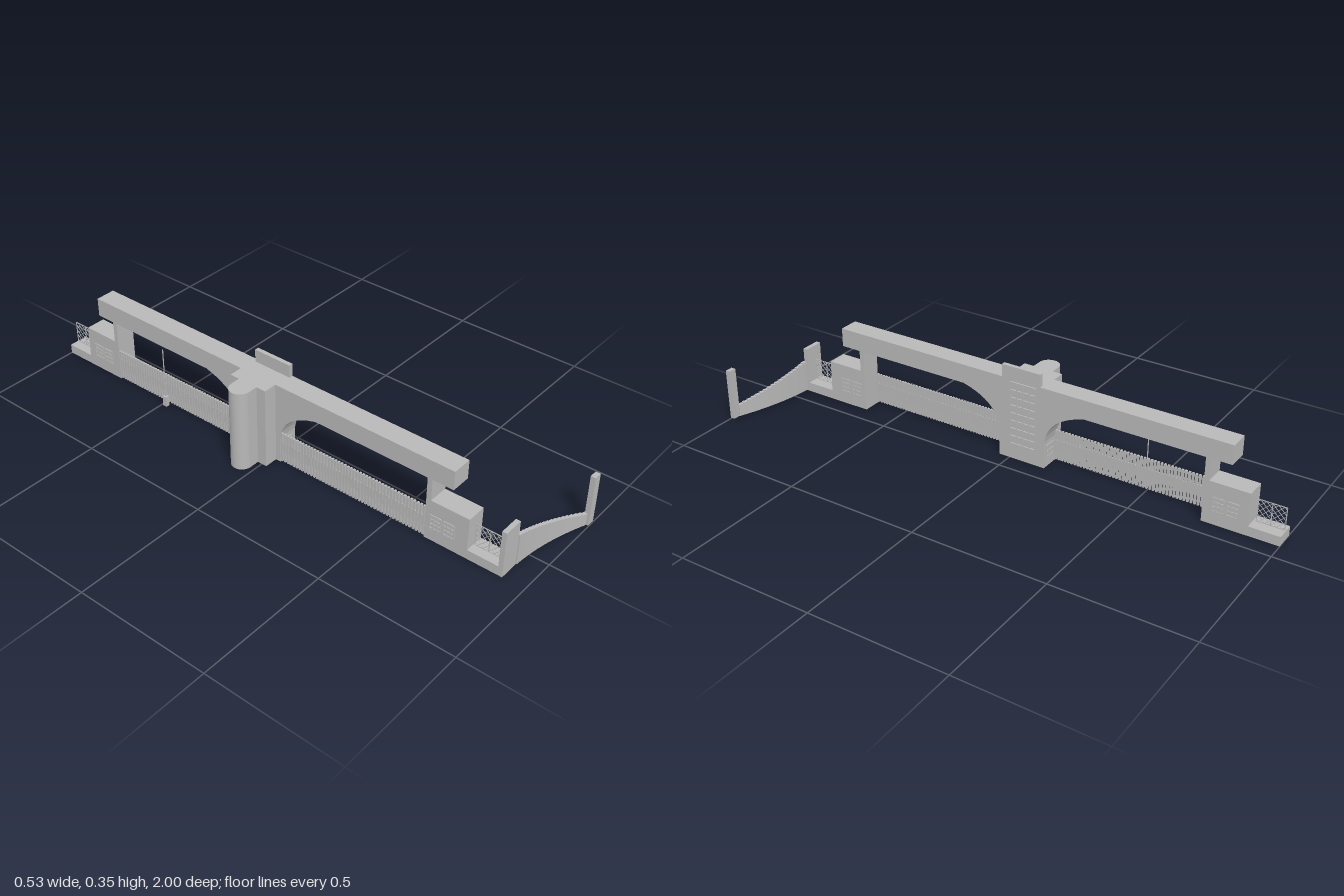
import * as THREE from 'three';

const concrete = new THREE.MeshStandardMaterial({ color: 0xb8b8b8 });
concrete.name = 'pale grey concrete';

// Box given by its lower and upper limits on each axis
function block(parent, name, x0, x1, y0, y1, z0, z1) {
  const mesh = new THREE.Mesh(new THREE.BoxGeometry(x1 - x0, y1 - y0, z1 - z0), concrete);
  mesh.position.set((x0 + x1) / 2, (y0 + y1) / 2, (z0 + z1) / 2);
  mesh.name = name;
  parent.add(mesh);
  return mesh;
}

// Window bars in the XY plane, centred on the origin, then turned and placed
function windowGrid(parent, name, w, h, cols, rows, x, y, z, turn) {
  const g = new THREE.Group();
  const t = 0.0018, d = 0.003;
  for (let i = 0; i <= cols; i++) {
    const px = -w / 2 + (w * i) / cols;
    block(g, 'upright', px - t, px + t, -h / 2, h / 2, -d, d);
  }
  for (let i = 0; i <= rows; i++) {
    const py = -h / 2 + (h * i) / rows;
    block(g, 'crossbar', -w / 2, w / 2, py - t, py + t, -d, d);
  }
  g.name = name;
  g.position.set(x, y, z);
  g.rotation.y = turn;
  parent.add(g);
}

// Comb railing: solid middle band with slats above and below
function railing(parent, z0, z1) {
  const g = new THREE.Group();
  g.name = 'railing';
  block(g, 'railingBand', -0.138, -0.132, 0.042, 0.082, z0, z1);
  const count = 47, pitch = (z1 - z0) / count;
  for (let i = 0; i < count; i++) {
    const z = z0 + pitch * (i + 0.5);
    block(g, 'slat', -0.14, -0.131, 0.006, 0.12, z - 0.0037, z + 0.0037);
  }
  parent.add(g);
}

// Lattice fence along z, with crossing diagonal bars
function latticeFence(parent, z0, z1) {
  const g = new THREE.Group();
  g.name = 'latticeFence';
  const x = -0.105, y0 = 0.037, y1 = 0.12, t = 0.0012;
  for (const z of [z0, (z0 + z1) / 2, z1]) block(g, 'fencePost', x - t, x + t, y0, y1, z - t, z + t);
  for (const y of [y0 + t, y1 - t]) block(g, 'fenceRail', x - t, x + t, y - t, y + t, z0, z1);
  const h = y1 - y0, w = z1 - z0, step = 0.02;
  for (const side of [1, -1]) {
    for (let s = -h + step / 2; s < w; s += step) {
      const a = Math.max(0, s), b = Math.min(w, s + h);
      if (b - a < 0.004) continue;
      const mid = (a + b) / 2;
      const bar = block(g, 'diagonalBar', x - 0.0008, x + 0.0008, -0.0008, 0.0008, 0, (b - a) * Math.SQRT2);
      bar.position.set(x, y0 + mid - s, side > 0 ? z0 + mid : z1 - mid);
      bar.rotation.x = -side * Math.PI / 4;
    }
  }
  parent.add(g);
}

export function createModel() {
  const model = new THREE.Group();
  model.name = 'bridgeGateway';
  const X0 = -0.14, X1 = -0.065;

  // Upper beam and central pier in one outline, drawn along s = -z
  const s = new THREE.Shape();
  s.moveTo(-0.04, 0);
  s.lineTo(0.14, 0);
  s.lineTo(0.14, 0.1);
  s.quadraticCurveTo(0.15, 0.2, 0.29, 0.235);
  s.lineTo(0.82, 0.235);
  s.lineTo(0.82, 0.305);
  s.lineTo(-0.725, 0.305);
  s.lineTo(-0.725, 0.235);
  s.lineTo(-0.19, 0.235);
  s.quadraticCurveTo(-0.05, 0.2, -0.04, 0.1);
  s.lineTo(-0.04, 0);
  const beamGeo = new THREE.ExtrudeGeometry(s, { depth: X1 - X0, bevelEnabled: false, curveSegments: 8 });
  beamGeo.rotateY(Math.PI / 2).translate(X0, 0, 0);
  const beam = new THREE.Mesh(beamGeo, concrete);
  beam.name = 'beamAndPier';
  model.add(beam);

  // Rear tower: square core with a rounded stairwell
  block(model, 'towerCore', -0.19, X0, 0, 0.305, -0.13, 0.02);
  const r = 0.038, plan = new THREE.Shape();
  plan.moveTo(-0.19, -r);
  plan.lineTo(-0.19, r);
  plan.lineTo(-0.227, r);
  plan.absarc(-0.227, 0, r, Math.PI / 2, Math.PI * 1.5, false);
  plan.lineTo(-0.19, -r);
  const wellGeo = new THREE.ExtrudeGeometry(plan, { depth: 0.305, bevelEnabled: false, curveSegments: 20 });
  wellGeo.rotateX(-Math.PI / 2).translate(0, 0, -0.055);
  const well = new THREE.Mesh(wellGeo, concrete);
  well.name = 'roundedStairwell';
  model.add(well);

  // Sign slab and tall window on the pier
  block(model, 'roofSlab', -0.079, -0.064, 0.305, 0.352, -0.12, 0.03);
  windowGrid(model, 'tallWindow', 0.1, 0.235, 4, 8, -0.063, 0.178, -0.055, Math.PI / 2);
  windowGrid(model, 'pierWindow', 0.045, 0.045, 3, 2, -0.1, 0.06, 0.04, 0);
  windowGrid(model, 'pierWindow', 0.045, 0.045, 3, 2, -0.1, 0.06, -0.14, 0);
  windowGrid(model, 'towerWindow', 0.03, 0.04, 2, 2, -0.165, 0.06, -0.13, 0);

  // End houses, beam supports and low plinths
  block(model, 'frontHouse', X0, X1, 0, 0.155, 0.63, 0.79);
  block(model, 'frontSupport', X0, X1, 0.155, 0.235, 0.63, 0.648);
  block(model, 'frontPlinth', X0, X1, 0, 0.035, 0.79, 0.905);
  block(model, 'rearHouse', X0, X1, 0, 0.155, -0.89, -0.73);
  block(model, 'rearSupport', X0, X1, 0.155, 0.235, -0.748, -0.73);
  block(model, 'rearPlinth', X0, X1, 0, 0.035, -1, -0.89);
  for (const x of [X0, X1]) {
    for (const z of [0.67, 0.72, -0.785, -0.835]) {
      windowGrid(model, 'houseWindow', 0.04, 0.05, 3, 3, x, 0.075, z, Math.PI / 2);
    }
  }

  // Railings and fences
  railing(model, 0.04, 0.63);
  railing(model, -0.73, -0.14);
  latticeFence(model, 0.795, 0.897);
  latticeFence(model, -0.997, -0.9);

  // Slim pole behind the railing
  block(model, 'poleBase', -0.162, -0.146, 0, 0.04, -0.493, -0.477);
  const pole = new THREE.Mesh(new THREE.CylinderGeometry(0.002, 0.002, 0.2, 8), concrete);
  pole.position.set(-0.154, 0.135, -0.485);
  pole.name = 'pole';
  model.add(pole);

  // End wall, stepped curving wall and its tall post
  block(model, 'endWall', X0, X1, 0, 0.173, 0.903, 0.92);
  const path = new THREE.QuadraticBezierCurve3(
    new THREE.Vector3(X1, 0, 0.918), new THREE.Vector3(0.08, 0, 0.925), new THREE.Vector3(0.232, 0, 0.986));
  const steps = 18;
  for (let i = 0; i < steps; i++) {
    const a = path.getPoint(i / steps), b = path.getPoint((i + 1) / steps);
    const top = 0.12 - (0.07 * i) / (steps - 1);
    const len = a.distanceTo(b) + 0.001;
    const step = block(model, 'wallStep', 0, len, 0.004, top, 0, 0.013);
    step.position.x = (a.x + b.x) / 2;
    step.position.z = (a.z + b.z) / 2;
    step.rotation.y = -Math.atan2(b.z - a.z, b.x - a.x);
  }
  block(model, 'endPost', 0.232, 0.262, 0.004, 0.195, 0.982, 1);
  return model;
}
